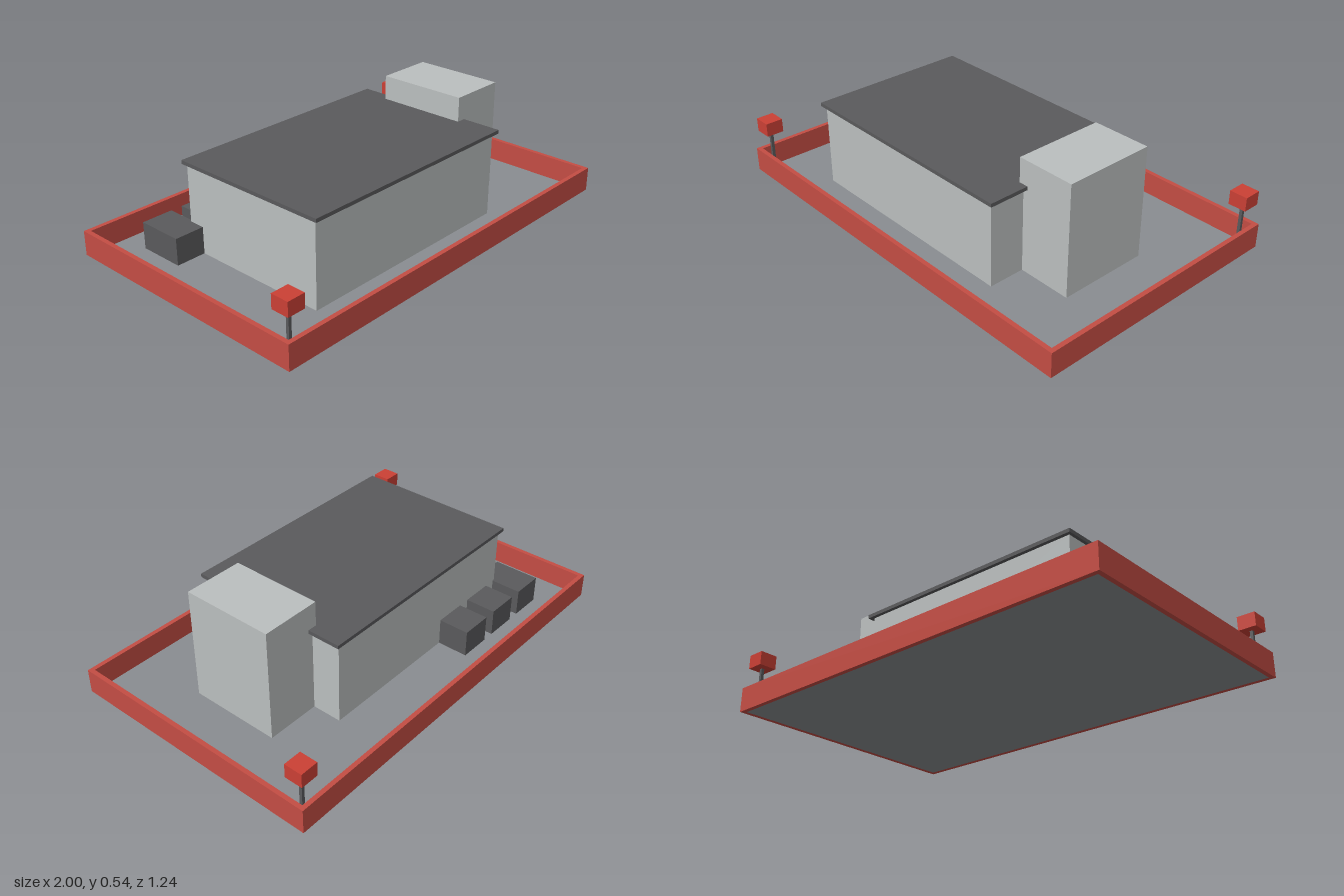
import * as THREE from 'three';

const mat = (name, color) => {
  const m = new THREE.MeshStandardMaterial({ color });
  m.name = name;
  return m;
};

export function createModel() {
  const root = new THREE.Group();
  root.name = 'walledBuilding';

  const rimRed = mat('rimRed', 0xc44d44);
  const signRed = mat('signRed', 0xcb4035);
  const paving = mat('pavingGrey', 0x8a8d91);
  const wallGrey = mat('wallGrey', 0xbbbfbf);
  const dark = mat('darkGrey', 0x5a5a5c);

  // Box given by its min and max along each axis
  const box = (name, material, [x0, x1], [y0, y1], [z0, z1], parent = root) => {
    const mesh = new THREE.Mesh(new THREE.BoxGeometry(x1 - x0, y1 - y0, z1 - z0), material);
    mesh.position.set((x0 + x1) / 2, (y0 + y1) / 2, (z0 + z1) / 2);
    mesh.name = name;
    parent.add(mesh);
    return mesh;
  };

  // Paved floor, with a low wall around it
  const W = 1, D = 0.618, T = 0.021, RIM = 0.115, FLOOR = 0.008;
  box('floor', paving, [-W + T, W - T], [0, FLOOR], [-D + T, D - T]);

  const outline = new THREE.Shape([[-W, -D], [W, -D], [W, D], [-W, D]].map(p => new THREE.Vector2(...p)));
  const w = W - T, d = D - T;
  outline.holes.push(new THREE.Path([[-w, -d], [-w, d], [w, d], [w, -d]].map(p => new THREE.Vector2(...p))));
  const rimGeo = new THREE.ExtrudeGeometry(outline, { depth: RIM, bevelEnabled: false });
  rimGeo.rotateX(-Math.PI / 2);
  const rim = new THREE.Mesh(rimGeo, rimRed);
  rim.name = 'perimeterWall';
  root.add(rim);

  // Main hall with overhanging flat roof, and the taller tower
  box('hall', wallGrey, [-0.66, 0.46], [FLOOR, 0.403], [-0.323, 0.421]);
  box('roof', dark, [-0.675, 0.482], [0.403, 0.42], [-0.34, 0.44]);
  box('tower', wallGrey, [0.438, 0.716], [FLOOR, 0.535], [-0.184, 0.249]);

  // Row of service units along the back
  for (const x of [-0.727, -0.519, -0.31]) {
    box('serviceUnit', dark, [x - 0.076, x + 0.076], [FLOOR, 0.134], [-0.468, -0.247]);
  }

  // Sign posts in two opposite corners
  for (const s of [1, -1]) {
    const post = new THREE.Group();
    post.name = 'cornerSign';
    post.position.set(-0.944 * s, 0, 0.563 * s);
    box('signPole', dark, [-0.007, 0.007], [FLOOR, 0.212], [-0.007, 0.007], post);
    box('signBox', signRed, [-0.042, 0.042], [0.212, 0.277], [-0.042, 0.042], post);
    root.add(post);
  }

  return root;
}
